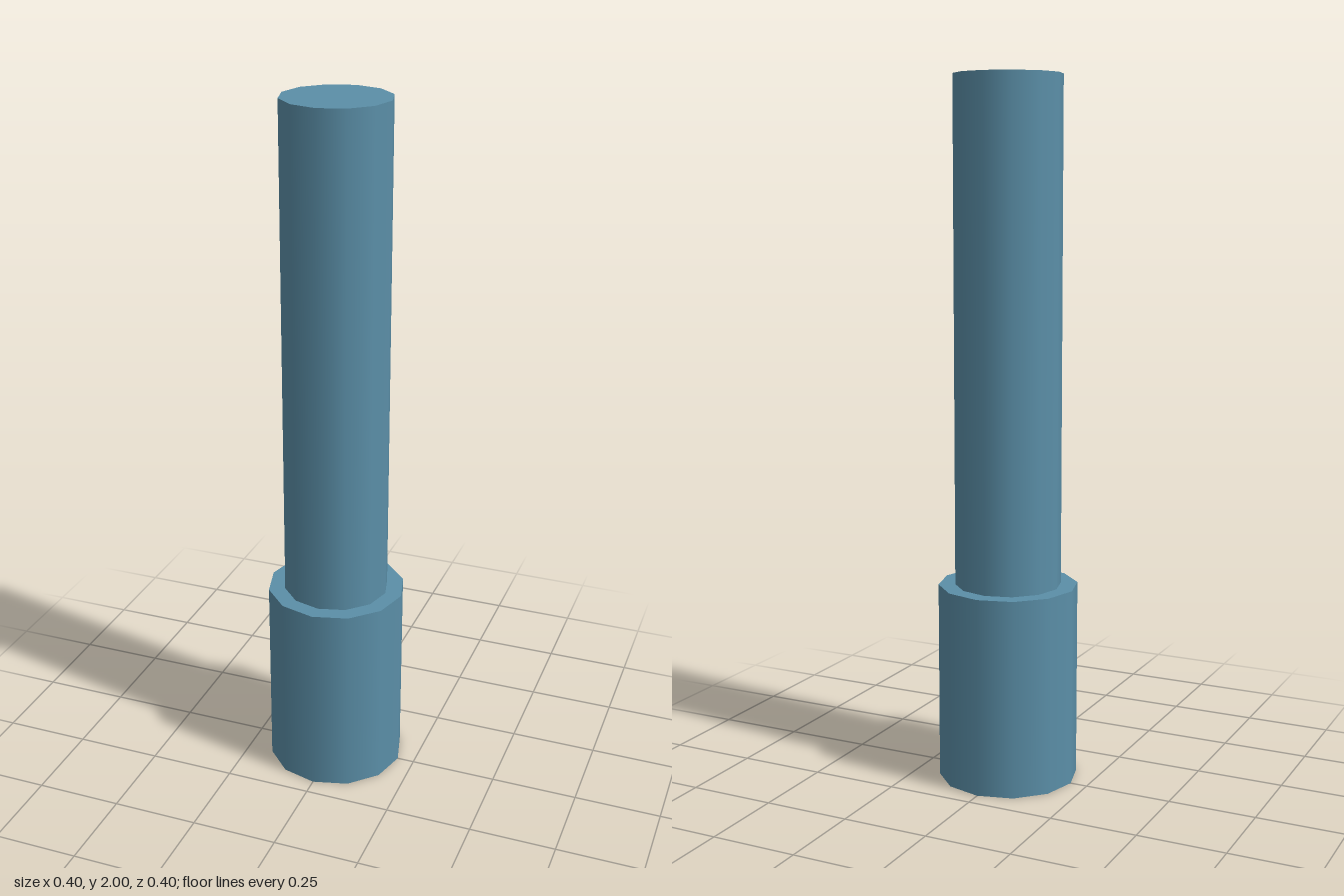
import * as THREE from 'three';

const SIDES = 12;
const BASE_R = 0.2, BASE_H = 0.57;
const ROD_R = 0.152, TOP = 2;

export function createModel() {
  const group = new THREE.Group();
  const material = new THREE.MeshStandardMaterial({ color: 0x5b8fa8, side: THREE.DoubleSide });

  const add = (name, geometry, y) => {
    const mesh = new THREE.Mesh(geometry, material);
    mesh.name = name;
    mesh.position.y = y;
    group.add(mesh);
  };

  // Smooth-sided tube without end caps, standing from y0 to y1
  const addWall = (name, radius, y0, y1) =>
    add(name, new THREE.CylinderGeometry(radius, radius, y1 - y0, SIDES, 1, true), (y0 + y1) / 2);

  // Wide sleeve, open underneath
  addWall('baseSleeve', BASE_R, 0, BASE_H);

  // Flat step between sleeve and rod
  add('baseShoulder', new THREE.RingGeometry(ROD_R, BASE_R, SIDES).rotateX(-Math.PI / 2), BASE_H);

  // Slim rod with a closed top
  addWall('rod', ROD_R, BASE_H, TOP);
  add('rodCap', new THREE.CircleGeometry(ROD_R, SIDES).rotateX(-Math.PI / 2), TOP);

  return group;
}
